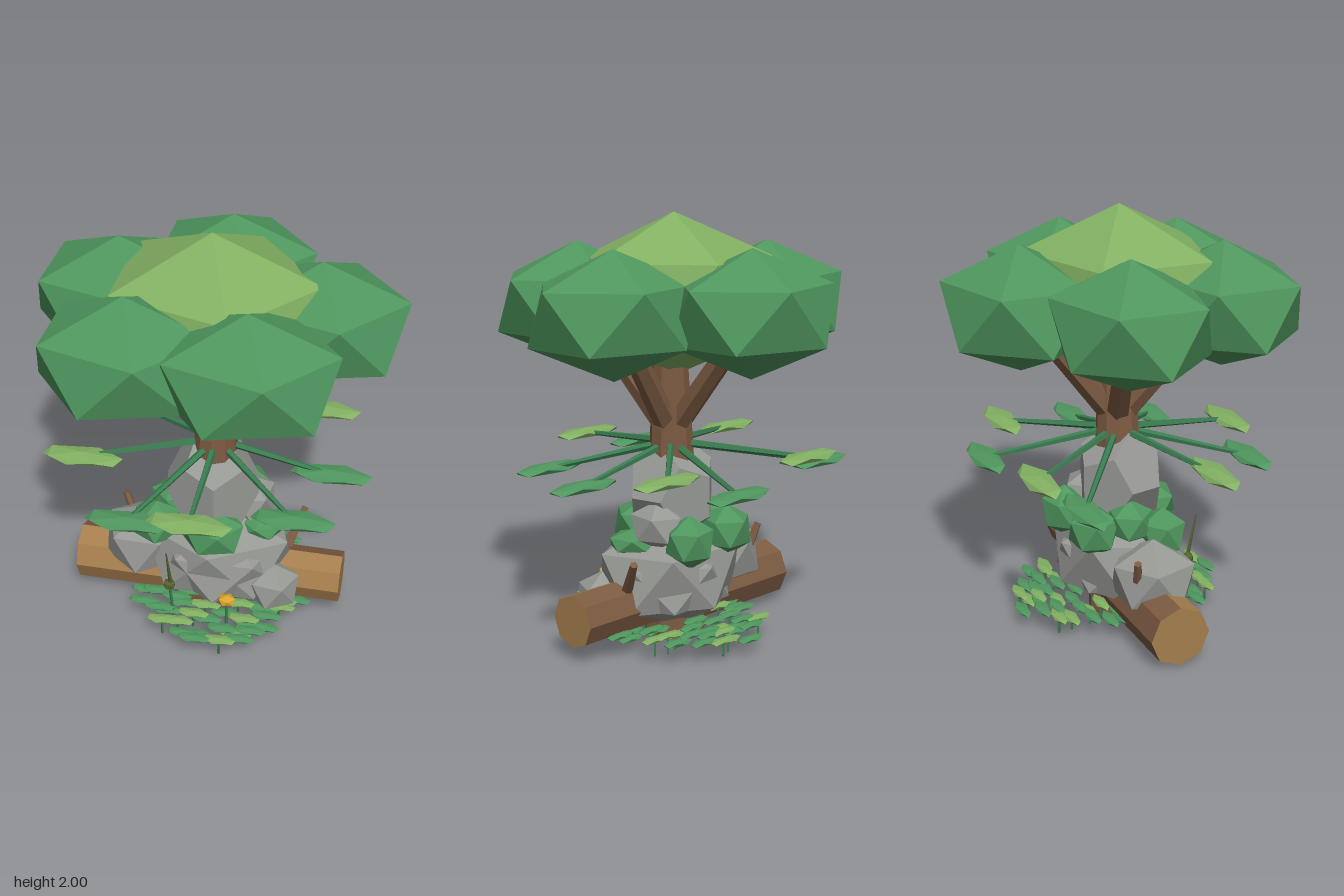
import * as THREE from 'three';

const paint = (name, color) => Object.assign(
  new THREE.MeshStandardMaterial({ color, flatShading: true }), { name });

const UP = new THREE.Vector3(0, 1, 0);
const v = (x, y, z) => new THREE.Vector3(x, y, z);

export function createModel() {
  const model = new THREE.Group();
  model.name = 'treeOnRocks';
  const green = paint('foliage green', 0x4f965e);
  const light = paint('light leaf green', 0x82b062);
  const stalkGreen = paint('stalk green', 0x3a7c50);
  const bark = paint('bark brown', 0x7d5b42);
  const wood = paint('cut wood tan', 0xa57e4e);
  const stone = paint('stone grey', 0x969894);
  const yellow = paint('flower yellow', 0xdba42c);
  const olive = paint('reed olive', 0x56602f);

  let seed = 7;
  const rand = () => (seed = (seed * 16807) % 2147483647) / 2147483647;

  const group = (name) => {
    const g = new THREE.Group();
    g.name = name;
    model.add(g);
    return g;
  };
  const add = (parent, name, geo, mat, x = 0, y = 0, z = 0) => {
    const m = new THREE.Mesh(geo, mat);
    m.name = name;
    m.position.set(x, y, z);
    parent.add(m);
    return m;
  };

  // Twenty-sided solid standing on one corner, upper ring pointing to +x
  const gem = new THREE.IcosahedronGeometry(1, 0);
  gem.rotateX(-Math.atan((1 + Math.sqrt(5)) / 2)).rotateY(Math.PI / 2);
  const blob = (parent, name, mat, [x, y, z], [rx, ry, rz], turn = 0) =>
    add(parent, name, gem.clone().rotateY(turn).scale(rx, ry, rz), mat, x, y, z);

  // Tapered stick between two points
  const stick = (parent, name, mat, a, b, r0, r1, sides = 6) => {
    const d = b.clone().sub(a);
    const mid = a.clone().add(b).multiplyScalar(0.5);
    const m = add(parent, name, new THREE.CylinderGeometry(r1, r0, d.length(), sides), mat, mid.x, mid.y, mid.z);
    m.quaternion.setFromUnitVectors(UP, d.normalize());
    return m;
  };

  // Trunk
  stick(model, 'trunk', bark, v(0, 0, 0.03), v(0.025, 1.3, 0.03), 0.15, 0.085, 10);

  // Canopy: five clumps with a branch each, and a pale crown
  const canopy = group('canopy');
  const clumps = [[0.47, -0.07], [-0.465, -0.13], [0, -0.455], [-0.3, 0.405], [0.235, 0.44]];
  for (const [x, z] of clumps) {
    blob(canopy, 'canopyClump', green, [x, 1.57, z], [0.442, 0.29, 0.383]);
    stick(canopy, 'branch', bark, v(0.02, 0.97, 0.03), v(x * 0.9, 1.52, z * 0.9), 0.06, 0.045);
  }
  blob(canopy, 'crown', light, [0, 1.62, 0.03], [0.55, 0.38, 0.5]);

  // Rocks
  const rocks = group('rocks');
  blob(rocks, 'mainRock', stone, [0.03, 0.3, 0.03], [0.42, 0.29, 0.33], -0.3);
  blob(rocks, 'baseRock', stone, [0.05, 0.27, 0.04], [0.36, 0.22, 0.33], 0.35);
  blob(rocks, 'leftBoulder', stone, [-0.34, 0.3, 0.05], [0.22, 0.19, 0.22], 0.3);
  blob(rocks, 'rightBoulder', stone, [0.33, 0.2, 0.17], [0.14, 0.13, 0.14], 0.2);
  blob(rocks, 'shoulderRock', stone, [0.18, 0.56, -0.04], [0.13, 0.12, 0.15], 0.5);
  const column = new THREE.DodecahedronGeometry(1, 0).rotateY(0.2).scale(0.235, 0.27, 0.22);
  add(rocks, 'upperRock', column, stone, 0.005, 0.68, 0.035);

  // Bushes around the upper rock
  const bushes = group('bushes');
  const bushSpots = [
    [0.04, 0.51, 0.2, 0.165, 0.12], [-0.25, 0.475, 0.14, 0.13, 0.125],
    [0.25, 0.48, 0.05, 0.13, 0.06], [0.13, 0.5, -0.2, 0.13, 0.13],
    [-0.15, 0.5, -0.17, 0.14, 0.13], [-0.19, 0.53, 0, 0.13, 0.11],
  ];
  bushSpots.forEach(([x, y, z, r, h], i) =>
    blob(bushes, 'bush', green, [x, y, z], [r, h, r * 0.92], i * 0.4));

  // Fallen logs: tan front, dark bark behind, cut ends
  const log = (name, x0, x1, y, z, r) => {
    const g = group(name);
    const half = (start) => new THREE.CylinderGeometry(r, r, x1 - x0, 4, 1, true, start, Math.PI).rotateZ(Math.PI / 2);
    const mid = (x0 + x1) / 2;
    add(g, 'logFront', half(-Math.PI / 2), wood, mid, y, z);
    add(g, 'logBack', half(Math.PI / 2), bark, mid, y, z);
    for (const s of [-1, 1])
      add(g, 'logEnd', new THREE.CircleGeometry(r, 8).rotateY(s * Math.PI / 2), wood, s < 0 ? x0 : x1, y, z);
    return g;
  };
  const leftLog = log('leftLog', 0.05, 0.65, 0.19, 0.03, 0.125);
  stick(leftLog, 'logTwig', bark, v(0.35, 0.24, 0), v(0.435, 0.45, -0.15), 0.03, 0.018);
  const rightLog = log('rightLog', -0.67, -0.05, 0.152, 0.03, 0.145);
  stick(rightLog, 'logTwig', bark, v(-0.38, 0.22, -0.05), v(-0.47, 0.45, -0.09), 0.03, 0.018);

  // Broad leaves on long stalks around the trunk
  const leaves = group('broadLeaves');
  const leafSpots = [
    [0.02, 0.625, 1], [-0.58, 0.23, 1], [-0.34, -0.51, 1], [0.46, -0.39, 1],
    [0.57, 0.03, 0], [0.45, 0.41, 0], [-0.28, 0.57, 0], [-0.57, -0.39, 0], [0.2, -0.57, 0],
  ];
  for (const [x, z, pale] of leafSpots) {
    const y = pale ? 0.88 : 0.805;
    blob(leaves, 'broadLeaf', pale ? light : green, [x, y, z], [0.22, 0.025, 0.078]);
    stick(leaves, 'leafStalk', stalkGreen, v(0.02, 0.93, 0.03), v(x, y, z), 0.02, 0.011, 5);
  }

  // Ground cover: flat little leaves on short stems
  const cover = group('groundCover');
  for (let i = 0; i < 80; i++) {
    const a = i * 2.39996;
    const r = 0.15 + 0.33 * Math.sqrt((i + 0.5) / 80);
    const x = 0.06 + Math.cos(a) * r * 0.82 + (rand() - 0.5) * 0.05;
    const z = 0.03 + Math.sin(a) * r * 1.06 + (rand() - 0.5) * 0.05;
    const y = 0.07 + rand() * 0.04;
    blob(cover, 'groundLeaf', i % 3 ? green : light, [x, y, z], [0.09, 0.013, 0.034]);
    if (i % 3 === 0) stick(cover, 'groundStem', stalkGreen, v(x, 0.015, z), v(x, y, z), 0.007, 0.006, 4);
  }

  // Yellow flower
  const flower = group('flower');
  stick(flower, 'flowerStem', stalkGreen, v(0.14, 0.01, 0.365), v(0.14, 0.22, 0.365), 0.008, 0.008, 5);
  blob(flower, 'flowerHead', yellow, [0.14, 0.233, 0.365], [0.046, 0.028, 0.04]);

  // Reed with a bud and a tall blade
  const reed = group('reed');
  stick(reed, 'reedStem', stalkGreen, v(-0.13, 0.01, 0.32), v(-0.145, 0.24, 0.335), 0.008, 0.008, 5);
  blob(reed, 'reedBud', olive, [-0.148, 0.255, 0.335], [0.032, 0.03, 0.03]);
  stick(reed, 'reedBlade', olive, v(-0.14, 0.25, 0.335), v(-0.15, 0.48, 0.375), 0.012, 0.003, 4);

  return model;
}
